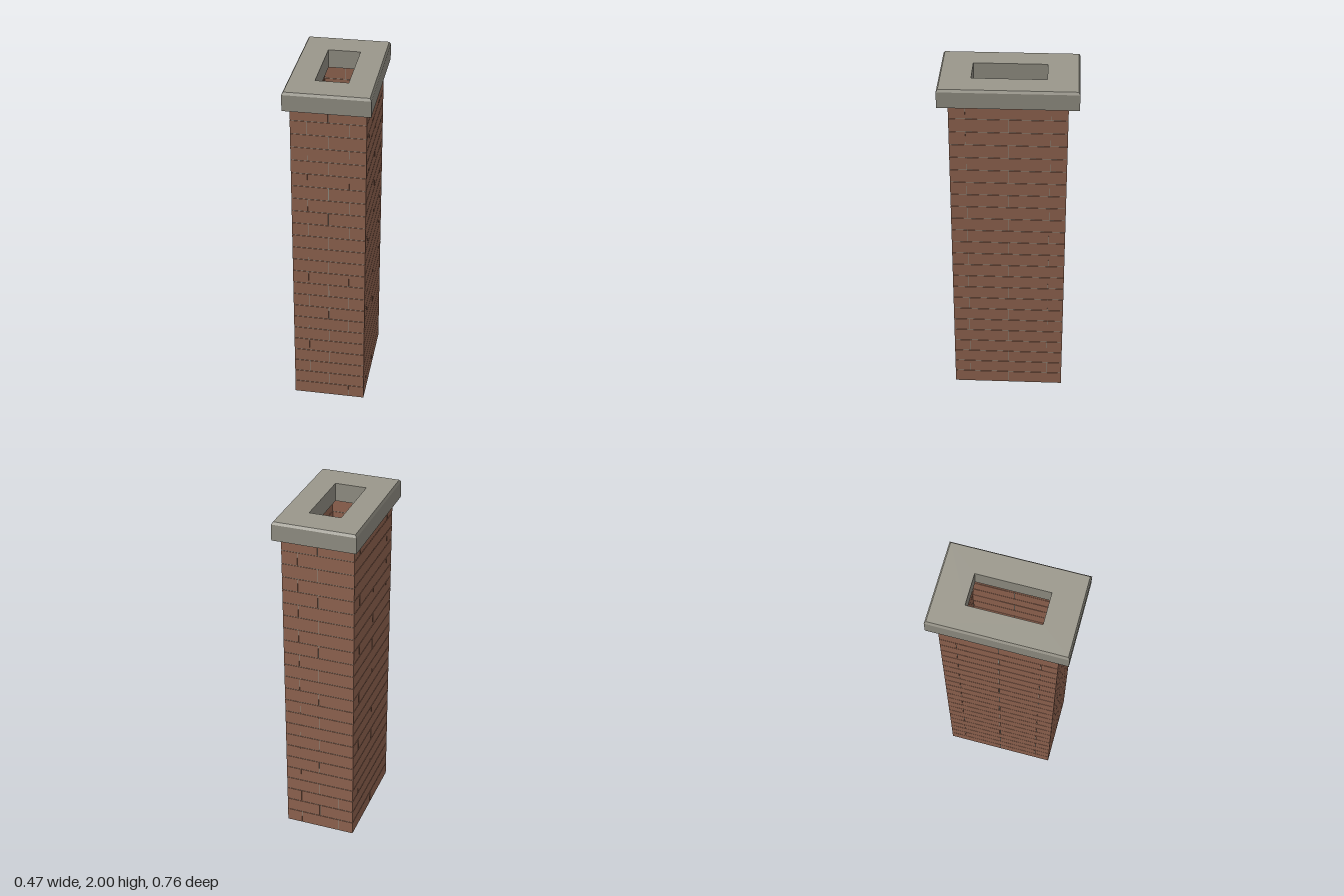
import * as THREE from 'three';

const BODY_X = 0.206, BODY_Z = 0.32, WALL = 0.09;
const COURSES = 24, TOP = 1.895, STEP = TOP / COURSES;
const GAP = 0.004, BED = 0.002;

// Sweeps a closed profile of rectangular rings [halfX, halfZ, y] into a hollow frame
function rectFrame(rings) {
  const pos = [];
  const corner = ([hx, hz, y], j) => {
    const [sx, sz] = [[-1, 1], [1, 1], [1, -1], [-1, -1]][j % 4];
    return [sx * hx, y, sz * hz];
  };
  rings.forEach((ring, i) => {
    const next = rings[(i + 1) % rings.length];
    for (let j = 0; j < 4; j++) {
      const a = corner(ring, j), b = corner(ring, j + 1);
      const c = corner(next, j + 1), d = corner(next, j);
      pos.push(...a, ...b, ...c, ...a, ...c, ...d);
    }
  });
  const g = new THREE.BufferGeometry();
  g.setAttribute('position', new THREE.Float32BufferAttribute(pos, 3));
  g.computeVertexNormals();
  return g;
}

function tube(ox, oz, ix, iz, y0, y1) {
  return rectFrame([[ix, iz, y0], [ox, oz, y0], [ox, oz, y1], [ix, iz, y1]]);
}

export function createModel() {
  const model = new THREE.Group();
  const brickMat = new THREE.MeshStandardMaterial({ color: 0x9a6b56 });
  const stoneMat = new THREE.MeshStandardMaterial({ color: 0x9b988c });

  const add = (parent, name, geometry, material) => {
    const mesh = new THREE.Mesh(geometry, material);
    mesh.name = name;
    parent.add(mesh);
    return mesh;
  };

  const ix = BODY_X - WALL, iz = BODY_Z - WALL;

  // Mortar core, slightly recessed behind the bricks, on a full-width bed
  const r = 0.003;
  add(model, 'mortar', tube(BODY_X - r, BODY_Z - r, ix + r, iz + r, BED, TOP), stoneMat);
  add(model, 'mortarBed', tube(BODY_X, BODY_Z, ix, iz, 0, BED), stoneMat);

  // Brick courses, with the corner overlap alternating
  const bricks = new THREE.Group();
  bricks.name = 'bricks';
  model.add(bricks);
  const brick = (x0, x1, z0, z1, course) => {
    // Shrink only at joints, so outer and inner faces stay flush
    const trim = (lo, hi, limit) => [
      lo <= -limit ? lo : lo + GAP / 2,
      hi >= limit ? hi : hi - GAP / 2,
    ];
    const alongX = Math.abs(z1 - z0) < WALL + 0.001;
    if (alongX) [x0, x1] = trim(x0, x1, BODY_X);
    else [z0, z1] = trim(z0, z1, BODY_Z);
    const y0 = course === 0 ? BED : course * STEP + GAP / 2;
    const y1 = (course + 1) * STEP - GAP / 2;
    const mesh = add(bricks, 'brick', new THREE.BoxGeometry(x1 - x0, y1 - y0, z1 - z0), brickMat);
    mesh.position.set((x0 + x1) / 2, (y0 + y1) / 2, (z0 + z1) / 2);
  };

  for (let c = 0; c < COURSES; c++) {
    for (const s of [-1, 1]) {
      const xLo = s < 0 ? -BODY_X : ix, zLo = s < 0 ? -BODY_Z : iz;
      if (c % 2 === 0) {
        // Long sides run through, one brick fits between them
        brick(xLo, xLo + WALL, -BODY_Z, 0, c);
        brick(xLo, xLo + WALL, 0, BODY_Z, c);
        brick(-ix, ix, zLo, zLo + WALL, c);
      } else {
        // Short sides run through, one brick fits between them
        brick(-BODY_X, 0, zLo, zLo + WALL, c);
        brick(0, BODY_X, zLo, zLo + WALL, c);
        brick(xLo, xLo + WALL, -iz, iz, c);
      }
    }
  }

  // Stone cap with a chamfered top edge and a flue opening
  add(model, 'cap', rectFrame([
    [0.09, 0.203, TOP],
    [0.236, 0.378, TOP],
    [0.236, 0.378, 1.986],
    [0.227, 0.369, 2],
    [0.09, 0.203, 2],
  ]), stoneMat);

  return model;
}
